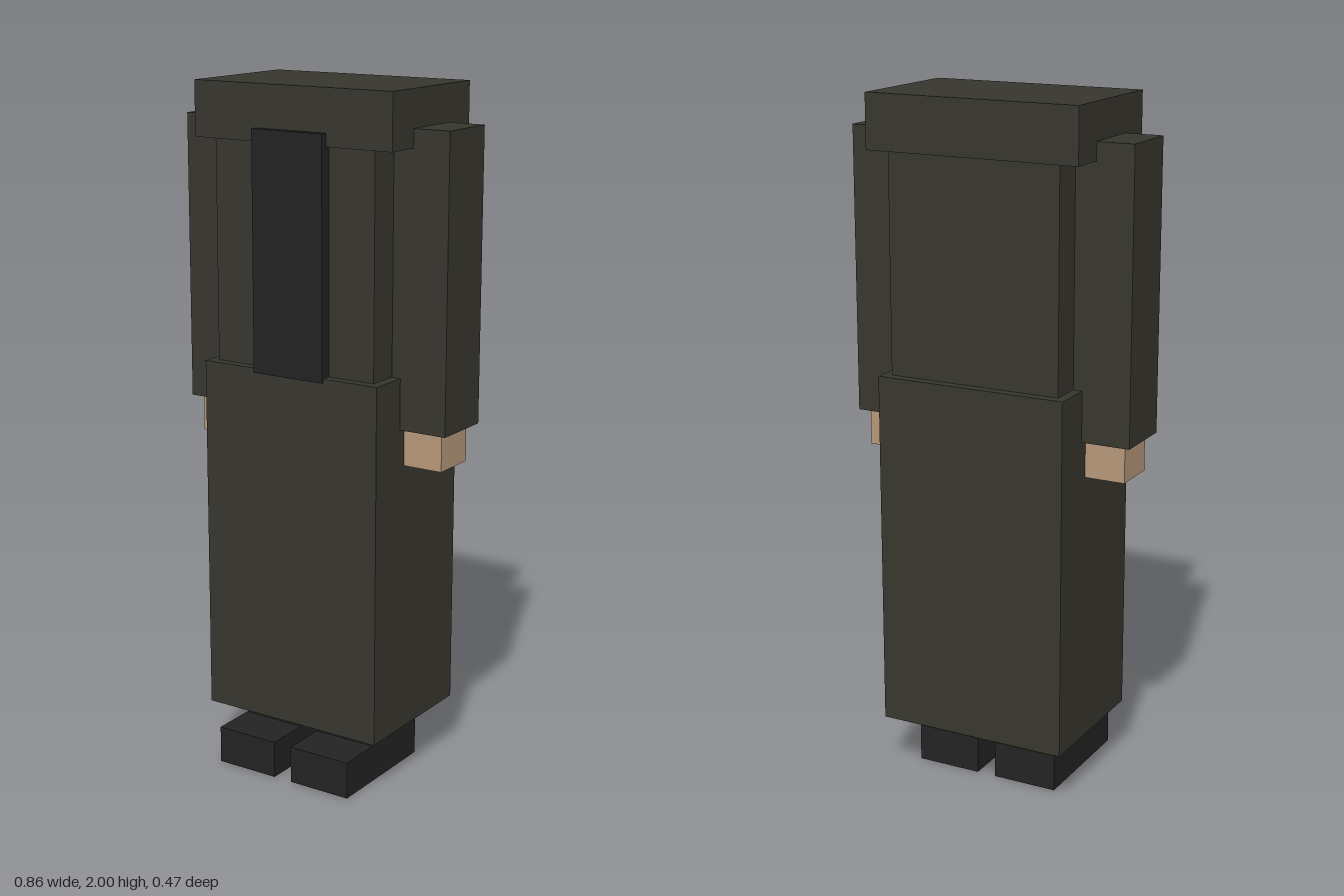
import * as THREE from 'three';

const material = (name, color) => {
  const m = new THREE.MeshStandardMaterial({ color });
  m.name = name;
  return m;
};

// Box given by its extents on each axis
function block(name, mat, [x0, x1], [y0, y1], [z0, z1]) {
  const mesh = new THREE.Mesh(new THREE.BoxGeometry(x1 - x0, y1 - y0, z1 - z0), mat);
  mesh.position.set((x0 + x1) / 2, (y0 + y1) / 2, (z0 + z1) / 2);
  mesh.name = name;
  return mesh;
}

export function createModel() {
  const coat = material('dark olive cloth', 0x37362e);
  const black = material('black cloth', 0x232323);
  const skin = material('skin', 0xb5977a);

  const model = new THREE.Group();
  model.name = 'robedFigure';

  // Robe
  model.add(
    block('skirt', coat, [-0.288, 0.288], [0.165, 1.212], [-0.236, 0.194]),
    block('torso', coat, [-0.261, 0.261], [1.2, 1.86], [-0.207, 0.166]),
    block('shoulderCape', coat, [-0.322, 0.322], [1.843, 2], [-0.222, 0.179]),
    block('frontPanel', black, [-0.115, 0.115], [1.2, 1.88], [0.15, 0.2])
  );

  // Limbs, mirrored on both sides
  for (const [side, s] of [['left', 1], ['right', -1]]) {
    const span = (a, b) => (s > 0 ? [a, b] : [-b, -a]);
    model.add(
      block(side + 'Sleeve', coat, span(0.247, 0.432), [1.065, 1.895], [-0.113, 0.072]),
      block(side + 'Hand', skin, span(0.272, 0.408), [0.957, 1.08], [-0.088, 0.048]),
      block(side + 'Leg', black, span(0.035, 0.218), [0.1, 0.3], [-0.137, 0.1]),
      block(side + 'Shoe', black, span(0.029, 0.224), [0, 0.11], [-0.138, 0.236])
    );
  }
  return model;
}
